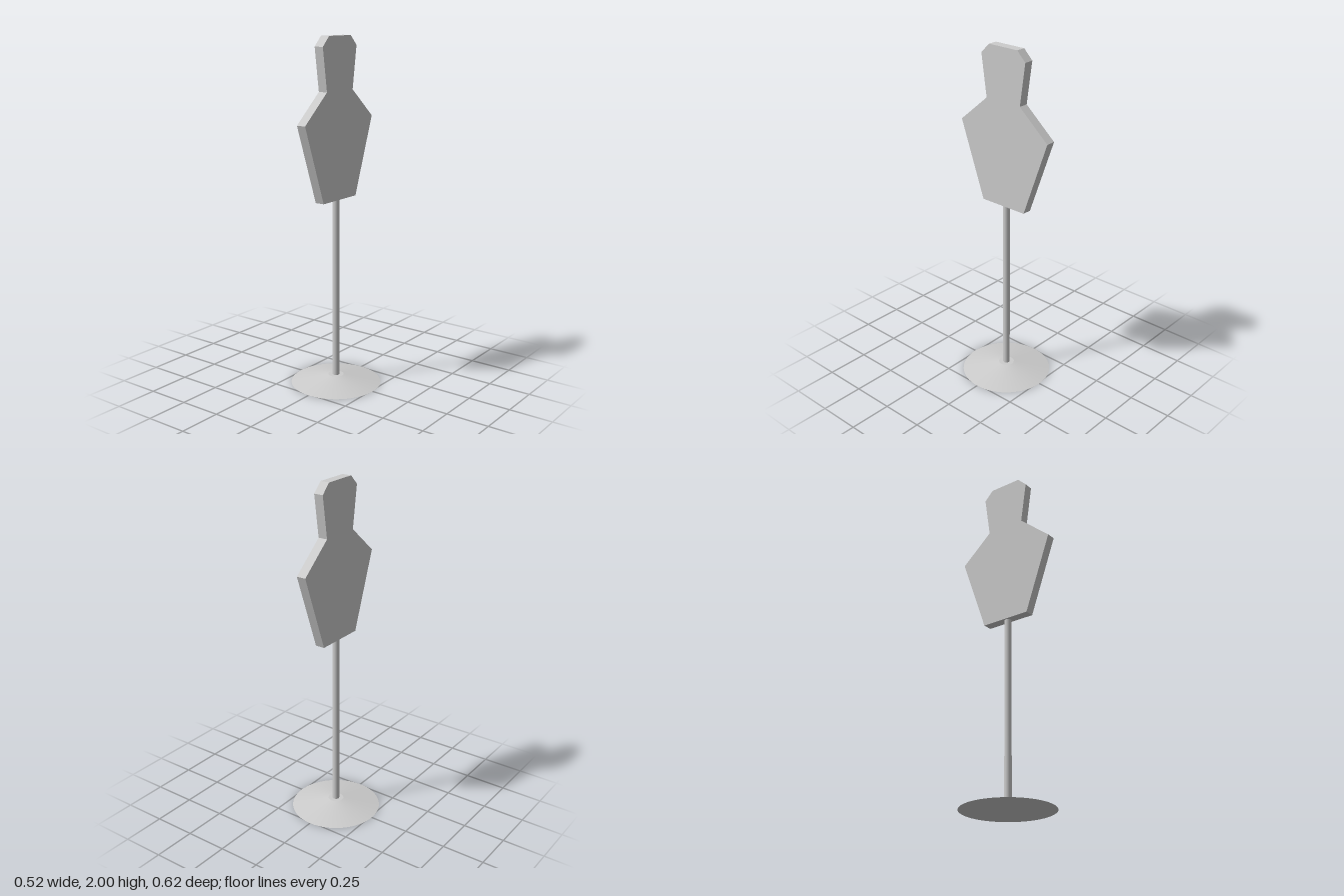
import * as THREE from 'three';

export function createModel() {
  const group = new THREE.Group();
  group.name = 'standingTarget';
  const grey = new THREE.MeshStandardMaterial({ color: 0xcccccc });
  grey.name = 'plain grey';

  const add = (name, geometry, y = 0) => {
    const mesh = new THREE.Mesh(geometry, grey);
    mesh.name = name;
    mesh.position.y = y;
    group.add(mesh);
  };

  // Shallow conical foot with a small flat top
  add('base', new THREE.CylinderGeometry(0.045, 0.262, 0.043, 64), 0.0215);

  // Thin round post
  add('pole', new THREE.CylinderGeometry(0.02, 0.02, 1.08, 32), 0.57);

  // Silhouette board: half outline mirrored, extruded and turned to face sideways
  const half = [[0.15, 1.095], [0.308, 1.54], [0.118, 1.703], [0.153, 1.945], [0.098, 2]];
  const mirrored = half.map(([w, y]) => [-w, y]).reverse();
  const outline = new THREE.Shape([...half, ...mirrored].map(([w, y]) => new THREE.Vector2(w, y)));
  const thickness = 0.055;
  const board = new THREE.ExtrudeGeometry(outline, { depth: thickness, bevelEnabled: false });
  board.translate(0, 0, -thickness / 2);
  board.rotateY(Math.PI / 2);
  add('targetBoard', board);

  return group;
}
